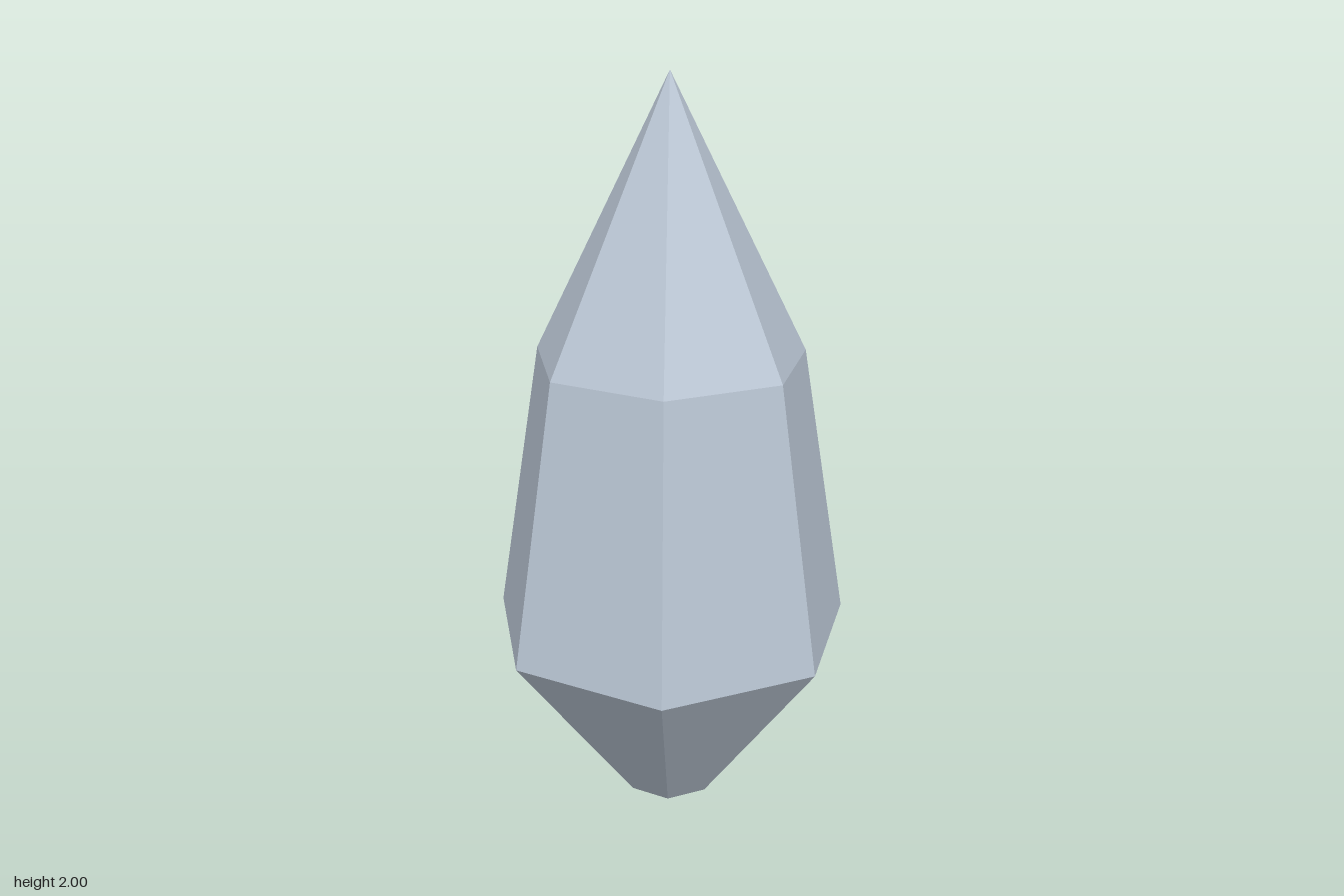
import * as THREE from 'three';

export function createModel() {
  const group = new THREE.Group();
  group.name = 'crystal';

  const paleBlueGrey = new THREE.MeshStandardMaterial({ color: 0xbac6d4, flatShading: true });
  paleBlueGrey.name = 'paleBlueGrey';

  // Seven-sided shard: small flat foot, wide girdle, tapering body, pointed tip
  const profile = [
    [0, 0], [0.131, 0], [0.498, 0.505], [0.368, 1.27], [0, 2],
  ].map(([r, y]) => new THREE.Vector2(r, y));

  const turn = THREE.MathUtils.degToRad(97.6);
  const shard = new THREE.Mesh(new THREE.LatheGeometry(profile, 7, turn), paleBlueGrey);
  shard.name = 'crystalShard';
  // An odd number of sides puts the axis slightly off the bounding centre
  shard.position.set(-0.01, 0, -0.016);
  group.add(shard);

  return group;
}
